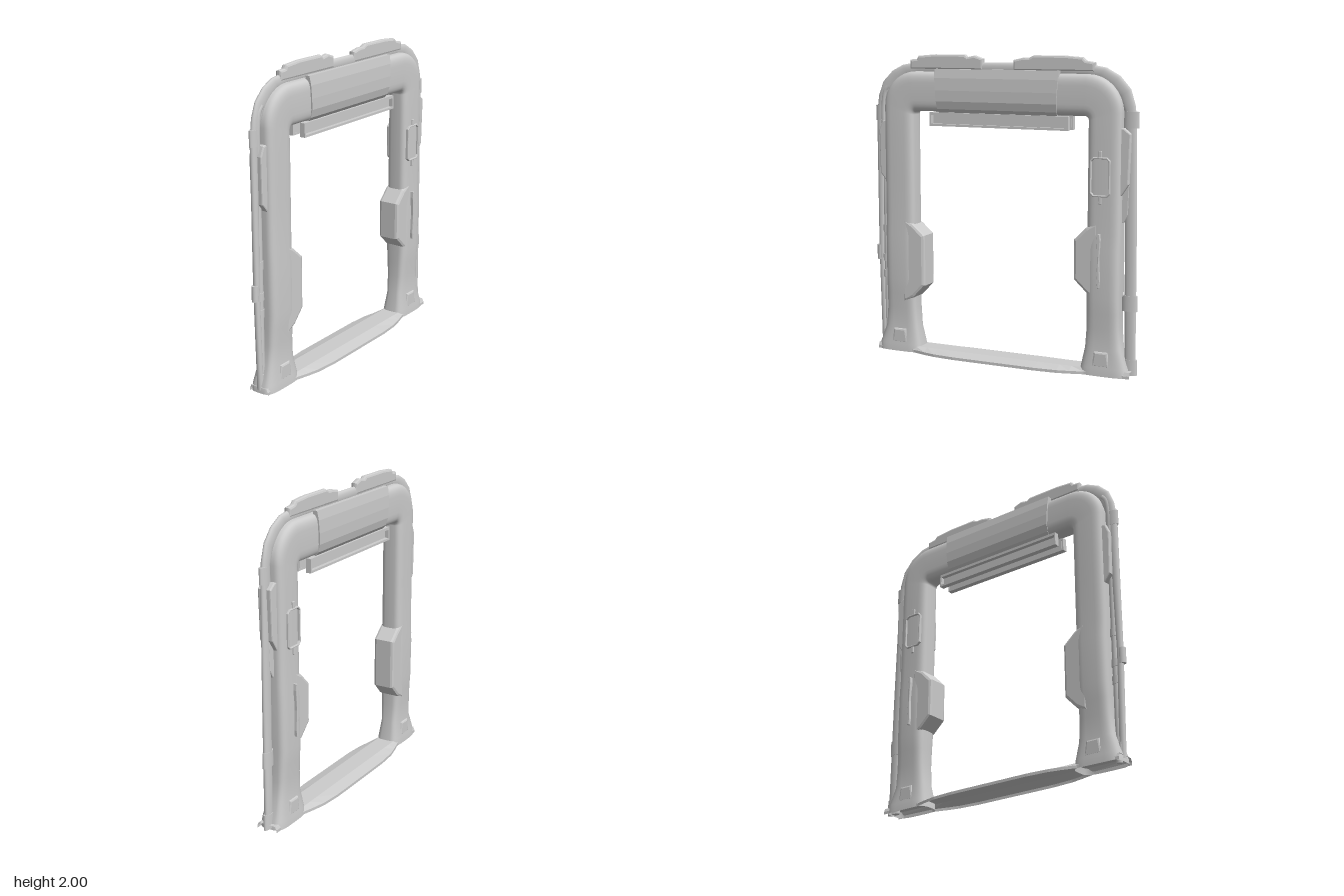
import * as THREE from 'three';

const mat = new THREE.MeshStandardMaterial({ color: 0xcccccc, side: THREE.DoubleSide });

function add(group, name, geometry) {
  const mesh = new THREE.Mesh(geometry, mat);
  mesh.name = name;
  group.add(mesh);
  return mesh;
}

// Loft rounded sections between outer and inner edge points.
// Station: [outerX, outerY, innerX, innerY, halfDepth]
function loft(stations, power, n = 32) {
  const pos = [], idx = [];
  const soft = (v) => Math.sign(v) * Math.pow(Math.abs(v), power);
  for (const [ox, oy, ix, iy, d] of stations) {
    for (let j = 0; j < n; j++) {
      const a = (j / n) * Math.PI * 2;
      const u = soft(Math.cos(a)) / 2;
      pos.push((ox + ix) / 2 + (ox - ix) * u, (oy + iy) / 2 + (oy - iy) * u, d * soft(Math.sin(a)));
    }
  }
  for (let i = 0; i < stations.length - 1; i++) {
    for (let j = 0; j < n; j++) {
      const a = i * n + j, b = i * n + (j + 1) % n;
      idx.push(a, b, a + n, b, b + n, a + n);
    }
  }
  const g = new THREE.BufferGeometry();
  g.setAttribute('position', new THREE.Float32BufferAttribute(pos, 3));
  g.setIndex(idx);
  g.computeVertexNormals();
  return g;
}

// Bevelled slab of a front outline, symmetric about z = 0
function slab(points, halfZ, bevel, hole) {
  const toVec = (p) => new THREE.Vector2(p[0], p[1]);
  const shape = new THREE.Shape(points.map(toVec));
  if (hole) shape.holes.push(new THREE.Path(hole.map(toVec)));
  const g = new THREE.ExtrudeGeometry(shape, {
    depth: 2 * (halfZ - bevel), bevelEnabled: true, bevelSize: bevel,
    bevelThickness: bevel, bevelOffset: -bevel, bevelSegments: 2,
  });
  return g.translate(0, 0, -(halfZ - bevel));
}

// Rectangle outline with cut corners
function cutRect(x0, x1, y0, y1, c) {
  return [[x0 + c, y0], [x1 - c, y0], [x1, y0 + c], [x1, y1 - c],
    [x1 - c, y1], [x0 + c, y1], [x0, y1 - c], [x0, y0 + c]];
}

export function createModel() {
  const model = new THREE.Group();
  model.name = 'scannerGate';

  // Main arch: flared feet, legs and rounded corners
  const half = [
    [0.89, 0, 0.57, 0, 0.085], [0.885, 0.05, 0.575, 0.05, 0.082],
    [0.842, 0.17, 0.60, 0.17, 0.065], [0.83, 0.3, 0.61, 0.3, 0.07],
    [0.83, 0.4, 0.61, 0.4, 0.074], [0.83, 0.5, 0.61, 0.5, 0.081],
    [0.83, 0.8, 0.61, 0.8, 0.081], [0.83, 0.92, 0.61, 0.92, 0.075],
    [0.83, 1.2, 0.61, 1.2, 0.075], [0.83, 1.5, 0.61, 1.5, 0.075],
  ];
  for (let k = 0; k <= 8; k++) {
    const c = Math.cos(k * Math.PI / 16), s = Math.sin(k * Math.PI / 16);
    half.push([0.6 + 0.23 * c, 1.66 + 0.23 * s, 0.585 + 0.025 * c, 1.605 + 0.025 * s, 0.073]);
  }
  half.push([0.4, 1.89, 0.4, 1.63, 0.073]);
  const left = half.map(([ox, oy, ix, iy, d]) => [-ox, oy, -ix, iy, d]);
  add(model, 'archFrame', loft([...left, ...half.slice().reverse()], 0.5)).position.x = -0.01;

  // Floor plate: sections along x, widest in the middle, open underneath
  const widths = [[-0.9, 0.07], [-0.62, 0.08], [-0.53, 0.105], [-0.45, 0.123], [-0.3, 0.135],
    [0.28, 0.135], [0.43, 0.123], [0.51, 0.105], [0.6, 0.08], [0.9, 0.07]];
  const pos = [], idx = [];
  for (const [x, w] of widths) {
    for (const [z, y] of [[w, 0], [w, 0.018], [0.06, 0.04], [-0.06, 0.04], [-w, 0.018], [-w, 0]]) pos.push(x, y, z);
  }
  for (let i = 0; i < widths.length - 1; i++) {
    for (let j = 0; j < 5; j++) {
      const a = i * 6 + j;
      idx.push(a, a + 6, a + 1, a + 1, a + 6, a + 7);
    }
  }
  let floor = new THREE.BufferGeometry();
  floor.setAttribute('position', new THREE.Float32BufferAttribute(pos, 3));
  floor.setIndex(idx);
  floor = floor.toNonIndexed();
  floor.computeVertexNormals();
  add(model, 'floorPlate', floor);

  // Header cladding: side profile extruded along x with slanted ends
  const side = [[0.04, 1.86], [0.04, 1.908], [0.07, 1.908], [0.08, 1.85], [0.083, 1.77],
    [0.08, 1.7], [0.066, 1.65], [0.045, 1.625]];
  const profile = new THREE.Shape([...side, ...side.slice().reverse().map(([z, y]) => [-z, y])]
    .map(([z, y]) => new THREE.Vector2(z, y)));
  const header = new THREE.ExtrudeGeometry(profile, { depth: 1, bevelEnabled: false });
  header.rotateY(Math.PI / 2).translate(-0.5, 0, 0);
  const hp = header.attributes.position;
  for (let i = 0; i < hp.count; i++) {
    hp.setX(i, -0.02 + hp.getX(i) * (0.83 + (hp.getY(i) - 1.63) * 0.12));
  }
  header.computeVertexNormals();
  add(model, 'headerPanel', header);

  // Light rails below the header: outward-facing channels
  for (const s of [1, -1]) {
    const rail = new THREE.Group();
    rail.name = 'lightRail';
    for (const [y, h, z, d, w] of [[1.58, 0.07, 0.032, 0.008, 0.94], [1.618, 0.018, 0.045, 0.035, 0.965],
      [1.545, 0.014, 0.045, 0.035, 0.965]]) {
      add(rail, 'railStrip', new THREE.BoxGeometry(w, h, d)).position.set(-0.01, y, s * z);
    }
    for (const x of [-0.488, 0.468]) {
      add(rail, 'railEnd', new THREE.BoxGeometry(0.01, 0.088, 0.035)).position.set(x, 1.582, s * 0.045);
    }
    model.add(rail);
  }

  // Inner pads on the legs
  add(model, 'rightInnerPad', slab([[-0.7, 0.34], [-0.62, 0.38], [-0.54, 0.465], [-0.54, 0.805],
    [-0.62, 0.875], [-0.7, 0.92]], 0.076, 0.02));
  add(model, 'leftInnerPad', slab([[0.68, 0.48], [0.6, 0.53], [0.52, 0.605], [0.52, 0.86],
    [0.6, 0.94], [0.68, 0.98]], 0.076, 0.02));

  // Display rim with its tabs, and the pinched handle, on both faces
  add(model, 'displayRim', slab(cutRect(0.627, 0.76, 1.14, 1.385, 0.02), 0.087, 0.004,
    cutRect(0.637, 0.75, 1.15, 1.375, 0.016)));
  for (const y of [1.4, 1.12]) {
    add(model, 'displayTab', slab(cutRect(0.683, 0.703, y - 0.025, y + 0.025, 0.003), 0.084, 0.003));
  }
  add(model, 'handle', slab([[0.686, 0.57], [0.7, 0.57], [0.704, 0.61], [0.697, 0.74], [0.704, 0.87],
    [0.7, 0.91], [0.686, 0.91], [0.682, 0.87], [0.689, 0.74], [0.682, 0.61]], 0.099, 0.002));

  // Foot blocks
  for (const x of [-0.73, 0.71]) {
    add(model, 'footBlock', slab([[x - 0.06, 0.055], [x + 0.06, 0.055], [x + 0.045, 0.155],
      [x - 0.045, 0.155]], 0.08, 0.012));
  }

  // Outer flat pipe looping around the arch
  const hoop = [
    [-0.905, 0.02, -0.865, 0.02], [-0.92, 0.7, -0.88, 0.7], [-0.922, 1.6, -0.86, 1.6],
    [-0.905, 1.73, -0.835, 1.69], [-0.87, 1.82, -0.79, 1.77], [-0.8, 1.89, -0.73, 1.82],
    [-0.72, 1.93, -0.67, 1.86], [-0.6, 1.95, -0.6, 1.87], [-0.2, 1.952, -0.2, 1.88],
    [0.2, 1.952, 0.2, 1.88], [0.58, 1.95, 0.58, 1.87], [0.7, 1.93, 0.65, 1.86],
    [0.79, 1.88, 0.72, 1.81], [0.86, 1.8, 0.785, 1.75], [0.89, 1.7, 0.82, 1.66],
    [0.9, 1.6, 0.825, 1.6], [0.912, 0.8, 0.835, 0.8], [0.917, 0.02, 0.845, 0.02],
  ].map((s) => [...s, 0.018]);
  add(model, 'outerPipe', loft(hoop, 0.9, 16));

  // Top fins
  add(model, 'rightTopFin', slab([[-0.66, 1.9], [-0.13, 1.9], [-0.13, 1.975], [-0.19, 1.995], [-0.24, 1.985],
    [-0.26, 2], [-0.48, 2], [-0.6, 1.99], [-0.61, 1.97], [-0.66, 1.965]], 0.021, 0.014));
  add(model, 'leftTopFin', slab([[0.08, 1.9], [0.63, 1.9], [0.63, 1.96], [0.57, 1.97], [0.55, 1.99],
    [0.43, 2], [0.22, 2], [0.19, 1.985], [0.15, 1.985], [0.08, 1.97]], 0.021, 0.014));

  // Flattened vertical pipes and collars: name, x, width, bottom, top, half depth
  const rods = [
    ['innerPipe', -0.862, 0.04, 0, 1.2, 0.014], ['pipeCollar', -0.885, 0.09, 1.56, 1.66, 0.02],
    ['pipeCollar', -0.862, 0.052, 0.8, 0.85, 0.018], ['pipeCollar', -0.912, 0.048, 0.61, 0.71, 0.02],
    ['pipeCollar', -0.865, 0.058, 0.6, 0.65, 0.018], ['pipeCollar', -0.865, 0.058, 0.49, 0.54, 0.018],
    ['pipeCollar', -0.88, 0.045, 0.06, 0.12, 0.02], ['pipeCollar', 0.865, 0.1, 1.565, 1.665, 0.02],
    ['pipeCollar', 0.873, 0.1, 0.42, 0.52, 0.02], ['pipeCollar', 0.877, 0.1, 0.01, 0.11, 0.02],
  ];
  for (const [name, x, w, y0, y1, d] of rods) {
    const rod = add(model, name, new THREE.CylinderGeometry(w / 2, w / 2, y1 - y0, 16));
    rod.scale.z = d / (w / 2);
    rod.position.set(x, (y0 + y1) / 2, 0);
  }

  // Side pads and the short bent hose beside the shoulder
  add(model, 'rightSidePad', slab([[-0.81, 1.14], [-0.83, 1.15], [-0.88, 1.21], [-0.885, 1.5],
    [-0.86, 1.56], [-0.81, 1.57]], 0.046, 0.008));
  add(model, 'leftSidePad', slab([[0.8, 1.15], [0.82, 1.15], [0.865, 1.22], [0.875, 1.53],
    [0.83, 1.565], [0.8, 1.565]], 0.046, 0.008));
  add(model, 'leftSideRib', slab([[0.8, 0.98], [0.83, 0.98], [0.858, 1.03], [0.87, 1.4],
    [0.84, 1.44], [0.8, 1.44]], 0.02, 0.006));
  const hose = new THREE.CatmullRomCurve3([[-0.868, 1.5], [-0.868, 1.66], [-0.85, 1.76], [-0.825, 1.79]]
    .map(([x, y]) => new THREE.Vector3(x, y, 0)));
  add(model, 'shoulderHose', new THREE.TubeGeometry(hose, 16, 0.022, 12));

  return model;
}
